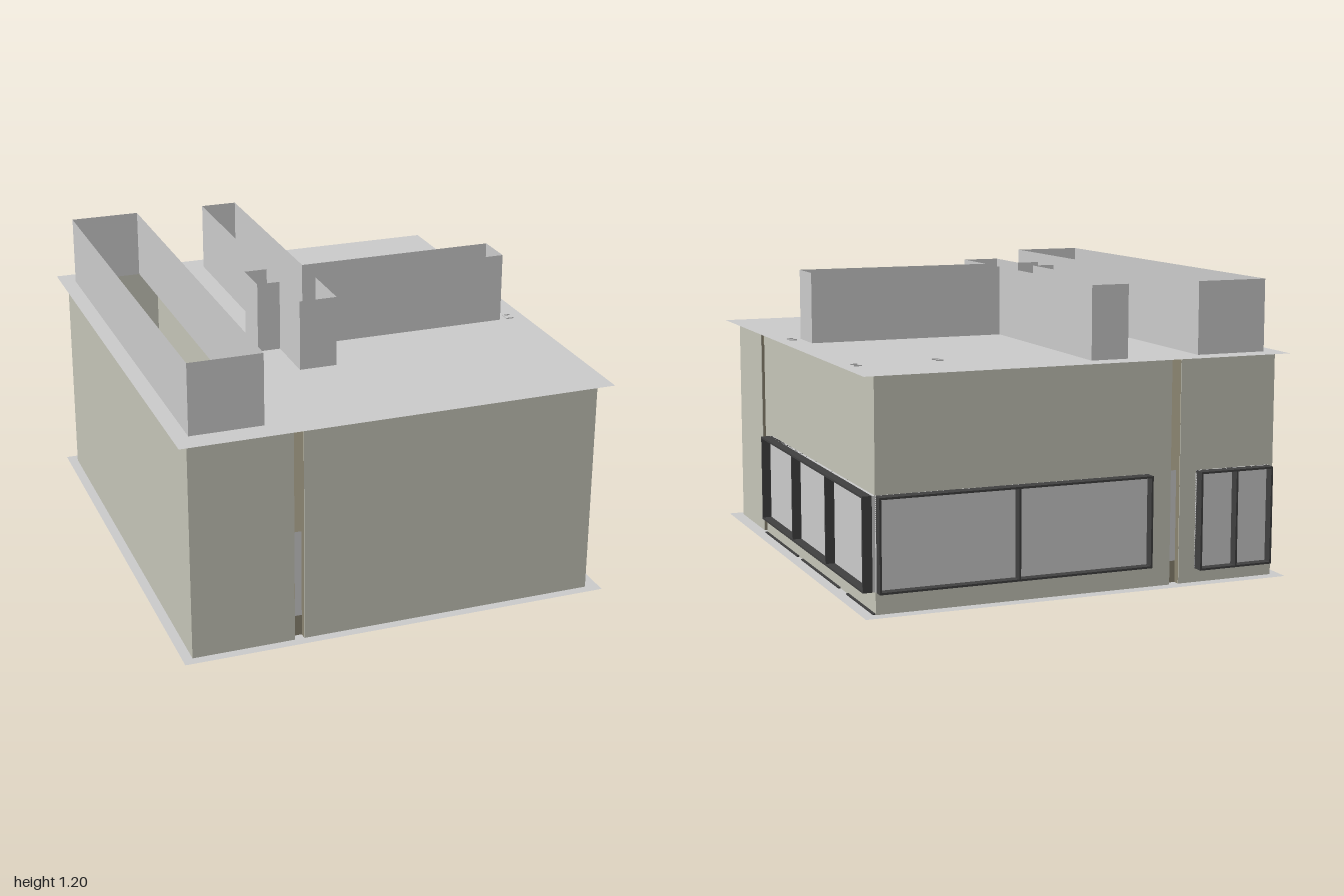
import * as THREE from 'three';

const mat = (color) => new THREE.MeshStandardMaterial({ color, side: THREE.DoubleSide });
const GREY = mat(0xcccccc), WALL = mat(0xc5c5b8), BROWN = mat(0x8a8470);
const DARK = mat(0x404040), ORANGE = mat(0xc8962f);
const ROOF_Y = 0.905;

// Box given by its minimum and maximum corners
function block(parent, name, material, [x0, y0, z0], [x1, y1, z1]) {
  const m = new THREE.Mesh(new THREE.BoxGeometry(x1 - x0, y1 - y0, z1 - z0), material);
  m.position.set((x0 + x1) / 2, (y0 + y1) / 2, (z0 + z1) / 2);
  m.name = name;
  parent.add(m);
  return m;
}

// Upright sheet between two plan points
function sheet(parent, name, material, [xa, za], [xb, zb], y0, y1) {
  const m = new THREE.Mesh(new THREE.PlaneGeometry(Math.hypot(xb - xa, zb - za), y1 - y0), material);
  m.position.set((xa + xb) / 2, (y0 + y1) / 2, (za + zb) / 2);
  m.rotation.y = -Math.atan2(zb - za, xb - xa);
  m.name = name;
  parent.add(m);
}

// Row of upright sheets round a closed plan outline
function fence(parent, name, material, pts, y0, y1) {
  const g = new THREE.Group();
  g.name = name;
  pts.forEach((p, i) => sheet(g, name + 'Side', material, p, pts[(i + 1) % pts.length], y0, y1));
  parent.add(g);
}

const rect = (x0, x1, z0, z1) => [[x0, z0], [x1, z0], [x1, z1], [x0, z1]];

// Framed window built facing +z; its left edge at the local origin
function makeWindow(name, width, y0, y1, panes) {
  const g = new THREE.Group(), d = 0.05, t = 0.008;
  g.name = name;
  block(g, 'pane', GREY, [0, y0, 0], [width, y1, 0.012]);
  for (const y of [y0, y1 - t]) block(g, 'frameRail', DARK, [0, y, 0], [width, y + t, d]);
  for (let i = 0; i <= panes; i++) {
    const x = (width - t) * i / panes;
    block(g, 'frameFin', DARK, [x, y0, 0], [x + t, y1, d]);
  }
  return g;
}

export function createModel() {
  const model = new THREE.Group();
  model.name = 'building';

  // Skylight outlines
  const longDuct = rect(-0.82, -0.525, -0.905, 0.9);
  const crossDuct = [[-0.22, -0.905], [-0.065, -0.905], [-0.065, 0.02], [0.77, 0.02], [0.77, 0.185],
    [-0.065, 0.185], [-0.065, 0.43], [-0.22, 0.43], [-0.22, 0.185], [-0.315, 0.185], [-0.315, 0.02], [-0.22, 0.02]];

  // Ground sheet and roof sheet with skylight openings
  const toVec = (pts) => pts.map(([x, z]) => new THREE.Vector2(x, -z));
  const slab = rect(-0.885, 0.885, -1, 1);
  for (const [name, y, holes] of [['ground', 0.003, []], ['roof', ROOF_Y, [longDuct, crossDuct]]]) {
    const shape = new THREE.Shape(toVec(slab));
    shape.holes = holes.map((h) => new THREE.Path(toVec(h)));
    const m = new THREE.Mesh(new THREE.ShapeGeometry(shape), GREY);
    m.rotation.x = -Math.PI / 2;
    m.position.y = y;
    m.name = name;
    model.add(m);
  }
  fence(model, 'longSkylight', GREY, longDuct, ROOF_Y, 1.195);
  fence(model, 'crossSkylight', GREY, crossDuct, ROOF_Y, 1.195);

  // Three wall shells separated by narrow slots
  fence(model, 'sideWing', WALL, rect(-0.845, -0.43, -0.95, 0.96), 0.003, ROOF_Y);
  fence(model, 'hall', WALL, rect(-0.39, 0.83, -0.95, 0.545), 0.003, ROOF_Y);
  fence(model, 'frontWing', WALL, rect(-0.39, 0.83, 0.595, 0.96), 0.003, ROOF_Y);

  // Slot linings, sills and infill panes
  for (const x of [-0.429, -0.391]) sheet(model, 'slotLining', BROWN, [x, -0.948], [x, 0.958], 0.003, ROOF_Y);
  for (const z of [0.546, 0.594]) sheet(model, 'slotLining', BROWN, [-0.38, z], [0.828, z], 0.003, ROOF_Y);
  block(model, 'slotLintel', BROWN, [0.76, 0.84, 0.546], [0.82, ROOF_Y - 0.001, 0.594]);
  for (const z of [0.93, -0.92]) {
    sheet(model, 'slotPane', GREY, [-0.43, z], [-0.39, z], 0.09, 0.455);
    sheet(model, 'slotSill', BROWN, [-0.43, z], [-0.39, z], 0.003, 0.09);
  }

  // Windows on the side and the back
  const side = makeWindow('sideWindow', 1.39, 0.09, 0.455, 3);
  side.position.set(0.83, 0, 0.44);
  side.rotation.y = Math.PI / 2;
  const back = makeWindow('backWindow', 1.12, 0.09, 0.455, 2);
  back.position.set(0.83, 0, -0.95);
  back.rotation.y = Math.PI;
  const small = makeWindow('smallBackWindow', 0.32, 0.06, 0.455, 2);
  small.position.set(-0.5, 0, -0.95);
  small.rotation.y = Math.PI;
  model.add(side, back, small);

  // Dark base strips along the hall walls: x0, x1, z0, z1
  for (const [x0, x1, z0, z1] of [
    [0.15, 0.82, 0.543, 0.557], [0.823, 0.84, 0.05, 0.545], [0.823, 0.84, -0.52, -0.01],
    [0.823, 0.84, -0.945, -0.62], [-0.4, -0.385, -0.11, 0.36], [-0.4, -0.385, -0.6, -0.18],
  ]) block(model, 'baseStrip', DARK, [x0, 0, z0], [x1, 0.008, z1]);
  block(model, 'partition', DARK, [-0.29, 0, -0.68], [0.32, 0.45, -0.655]);

  // Ceiling beams inside the hall
  for (const x of [-0.172, -0.115, 0.255, 0.68, 0.73])
    block(model, 'longBeam', ORANGE, [x - 0.012, 0.83, -0.94], [x + 0.012, 0.86, 0.54]);
  for (const z of [-0.895, -0.84])
    block(model, 'crossBeam', ORANGE, [-0.38, 0.8, z - 0.011], [0.82, 0.83, z + 0.011]);

  // Small flat brackets on the roof
  for (const [x, z] of [[0.478, -0.674], [0.815, -0.7], [0.815, 0.165]]) {
    for (const s of [-1, 1])
      block(model, 'roofBracket', GREY, [x - 0.016, ROOF_Y, z + s * 0.02 - 0.003], [x + 0.016, ROOF_Y + 0.005, z + s * 0.02 + 0.003]);
    block(model, 'roofBracket', GREY, [x - 0.016, ROOF_Y, z - 0.02], [x - 0.01, ROOF_Y + 0.005, z + 0.02]);
  }
  return model;
}
